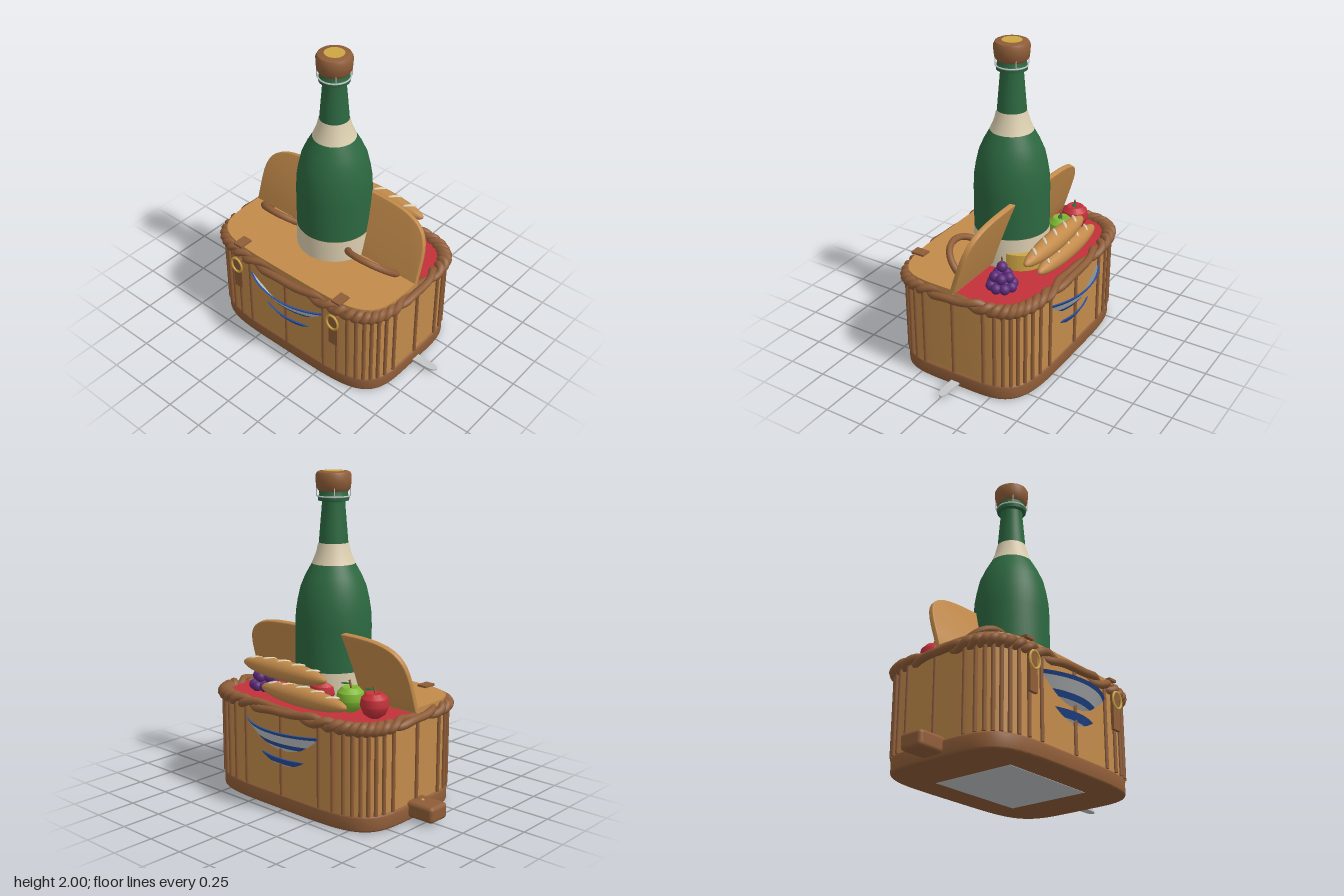
import * as THREE from 'three';
import { toCreasedNormals } from 'three/addons/utils/BufferGeometryUtils.js';
import { RoundedBoxGeometry } from 'three/addons/geometries/RoundedBoxGeometry.js';

const mat = (name, color) => {
  const m = new THREE.MeshStandardMaterial({ color });
  m.name = name;
  return m;
};

// Rounded oblong outline shared by the basket, rim and lids
const POWER = 0.42;
const bend = v => Math.sign(v) * Math.pow(Math.abs(v), POWER);
const outline = (t, a, b) => new THREE.Vector2(a * bend(Math.cos(t)), b * bend(Math.sin(t)));

function slab(a, b, height, from = 0, to = Math.PI * 2, bevel = 0) {
  const pts = [], n = 96, full = to - from > 6;
  for (let i = 0; i < (full ? n : n + 1); i++) {
    pts.push(outline(from + (to - from) * i / n, a - bevel, b - bevel));
  }
  const geo = new THREE.ExtrudeGeometry(new THREE.Shape(pts), {
    depth: height - 2 * bevel, bevelEnabled: bevel > 0, bevelSize: bevel, bevelThickness: bevel, bevelSegments: 3,
  });
  geo.translate(0, 0, bevel);
  return toCreasedNormals(geo, 0.6);
}

// One strand of the twisted rim
class Strand extends THREE.Curve {
  constructor(phase) {
    super();
    this.phase = phase;
    this.arcLengthDivisions = 4000;
  }
  getPoint(u, target = new THREE.Vector3()) {
    const t = u * Math.PI * 2, w = 20 * t + this.phase, o = 0.02 * Math.cos(w);
    const p = outline(t, 0.65 + o, 0.45 + o);
    return target.set(p.x, 0.616 + 0.02 * Math.sin(w), -p.y);
  }
}

export function createModel() {
  const root = new THREE.Group();
  const tan = mat('tan wicker', 0xc28a4a), brown = mat('brown cane', 0x8f5d38);
  const green = mat('green glass', 0x2c6840), cream = mat('cream paper', 0xdccfb0);
  const gold = mat('gold', 0xcda543), red = mat('red', 0xc4313a);
  const blue = mat('blue', 0x2850a0), silver = mat('pale silver', 0xc4c6c8);
  const purple = mat('purple grape', 0x5b2a78), lime = mat('lime', 0x7fb832);
  silver.side = blue.side = THREE.DoubleSide;

  const add = (name, geo, material, x = 0, y = 0, z = 0, parent = root) => {
    const m = new THREE.Mesh(geo, material);
    m.name = name;
    m.position.set(x, y, z);
    parent.add(m);
    return m;
  };
  const lathe = (pts, seg = 48) => toCreasedNormals(
    new THREE.LatheGeometry(pts.map(p => new THREE.Vector2(p[0], p[1])), seg), 0.6);
  const flat = m => { m.rotation.x = -Math.PI / 2; return m; };

  // Basket body, base band and lining
  flat(add('basketWall', slab(0.655, 0.455, 0.52), tan, 0, 0.08, 0));
  flat(add('basketBase', slab(0.667, 0.462, 0.1, 0, Math.PI * 2, 0.015), brown, 0, 0.002, 0));
  flat(add('cloth', slab(0.64, 0.44, 0.025), red, 0, 0.598, 0));
  add('basePlate', new THREE.BoxGeometry(0.68, 0.006, 0.54), silver, 0, 0.003, 0);

  // Upright canes, crowding toward the corners
  const cane = new THREE.CylinderGeometry(0.012, 0.012, 0.5, 8);
  for (let i = 0; i < 40; i++) {
    const p = outline(i * Math.PI / 20, 0.659, 0.459);
    add('cane', cane, brown, p.x, 0.35, -p.y);
  }

  // Braided rim
  for (let i = 0; i < 2; i++) {
    add('rimStrand', new THREE.TubeGeometry(new Strand(i * Math.PI), 900, 0.025, 8, true), brown);
  }

  // Closed front lid and raised back lid
  flat(add('frontLid', slab(0.65, 0.445, 0.033, Math.PI, Math.PI * 2), tan, 0, 0.636, 0));
  const backLid = add('backLid', slab(0.65, 0.43, 0.033, 0, Math.PI, 0.006), tan, 0, 0.65, -0.01);
  backLid.rotation.x = -0.31;

  // Carrying handles, straps and buckles on both sides
  for (const s of [-1, 1]) {
    const pts = [];
    for (let i = 0; i <= 12; i++) {
      const a = Math.PI * i / 12, k = Math.pow(Math.sin(a), 0.8);
      pts.push(new THREE.Vector3(s * (0.35 + 0.165 * Math.cos(a)), 0.67 + 0.14 * k, 0.02 + 0.165 * k));
    }
    add('carryHandle', new THREE.TubeGeometry(new THREE.CatmullRomCurve3(pts), 40, 0.021, 10), brown);
    add('strapFront', new THREE.BoxGeometry(0.065, 0.23, 0.02), brown, s * 0.395, 0.465, 0.468);
    add('strapTop', new THREE.BoxGeometry(0.065, 0.015, 0.09), brown, s * 0.4, 0.674, 0.415);
    const ring = add('buckleRing', new THREE.TorusGeometry(0.043, 0.007, 8, 28), gold, s * 0.395, 0.535, 0.485);
    ring.scale.y = 1.2;
  }

  // Striped bowls standing proud of the front and back walls
  const bowls = [
    ['upperBowl', [[0.37, 0.30], [0.456, 0.378], [0.478, 0.405], [0.498, 0.437], [0.537, 0.5], [0.55, 0.52]],
      [silver, silver, blue, silver, blue]],
    ['lowerBowl', [[0.4, 0.24], [0.459, 0.288], [0.465, 0.296], [0.489, 0.338]], [silver, silver, blue]],
  ];
  for (const [name, p, mats] of bowls) {
    const bowl = new THREE.Group();
    bowl.name = name;
    root.add(bowl);
    mats.forEach((m, i) => add('bowlBand', lathe([p[i], p[i + 1]], 72), m, 0, 0, 0, bowl));
    const [r, y] = p[p.length - 1];
    add('bowlInside', lathe([[r - 0.008, y], [r - 0.06, y - 0.07]], 72), silver, 0, 0, 0, bowl);
    add('bowlLip', lathe([[r, y], [r - 0.012, y]], 72), blue, 0, 0, 0, bowl);
  }

  // Bottle in coloured bands
  const bottle = new THREE.Group();
  bottle.name = 'bottle';
  root.add(bottle);
  const bands = [
    ['bottleLabel', cream, [[0.0, 0.61], [0.235, 0.61], [0.235, 0.82]]],
    ['bottleBody', green, [[0.233, 0.82], [0.233, 1.08], [0.229, 1.16], [0.218, 1.23], [0.2, 1.31],
      [0.17, 1.38], [0.13, 1.452]]],
    ['neckLabel', cream, [[0.132, 1.45], [0.107, 1.51], [0.091, 1.575]]],
    ['bottleNeck', green, [[0.089, 1.57], [0.08, 1.68], [0.07, 1.8], [0.07, 1.82], [0.092, 1.825],
      [0.094, 1.845], [0.085, 1.86], [0.085, 1.89]]],
    ['stopper', brown, [[0, 1.88], [0.09, 1.882], [0.102, 1.9], [0.107, 1.94], [0.107, 1.975],
      [0.098, 1.992], [0.085, 1.998], [0, 1.998]]],
    ['stopperCap', gold, [[0.06, 1.996], [0.06, 2.0], [0, 2.0]]],
  ];
  for (const [name, m, pts] of bands) add(name, lathe(pts), m, 0, 0, 0, bottle);
  const wire = add('wireRing', new THREE.TorusGeometry(0.094, 0.005, 6, 40), silver, 0, 1.85, 0, bottle);
  wire.rotation.x = Math.PI / 2;
  for (let i = 0; i < 4; i++) {
    const a = Math.PI * (i / 2 + 0.25);
    add('wireLeg', new THREE.CylinderGeometry(0.003, 0.003, 0.1, 6), silver,
      0.1 * Math.cos(a), 1.9, 0.1 * Math.sin(a), bottle);
  }

  // Apples with stems
  const appleGeo = lathe([[0, -0.066], [0.03, -0.076], [0.065, -0.05], [0.086, 0], [0.078, 0.045],
    [0.05, 0.073], [0.025, 0.072], [0, 0.055]], 28);
  for (const [x, m] of [[-0.485, red], [-0.3, lime], [-0.08, red]]) {
    const apple = new THREE.Group();
    apple.name = 'apple';
    apple.position.set(x, 0.697, -0.18);
    root.add(apple);
    add('appleFlesh', appleGeo, m, 0, 0, 0, apple);
    add('appleStem', new THREE.CylinderGeometry(0.007, 0.005, 0.06, 6), brown, 0, 0.085, 0, apple).rotation.z = -0.25;
    const leaf = add('appleLeaf', new THREE.SphereGeometry(1, 12, 8), green, 0.03, 0.092, -0.01, apple);
    leaf.scale.set(0.03, 0.004, 0.014);
    leaf.rotation.y = 0.4;
  }

  // Cheese wedge
  const wedge = new THREE.Shape();
  wedge.moveTo(0, 0);
  wedge.absarc(0, 0, 0.17, 0, Math.PI / 2);
  const cheese = new THREE.ExtrudeGeometry(wedge, { depth: 0.11, bevelEnabled: false, curveSegments: 16 });
  flat(add('cheese', toCreasedNormals(cheese, 0.6), gold, 0.05, 0.62, -0.095));

  // Grapes heaped in shrinking rings
  const grape = new THREE.SphereGeometry(0.033, 14, 10);
  [[8, 0.066, 0.652], [3, 0.025, 0.655], [5, 0.044, 0.708], [1, 0, 0.77]].forEach(([n, r, y], k) => {
    for (let i = 0; i < n; i++) {
      const a = i / n * Math.PI * 2 + k * 0.4;
      add('grape', grape, purple, 0.415 + r * Math.cos(a), y, -0.19 + r * Math.sin(a));
    }
  });
  add('grapeStem', new THREE.CylinderGeometry(0.005, 0.006, 0.05, 6), brown, 0.415, 0.81, -0.19);

  // Two stacked loaves with slashed crusts
  for (const [x0, y0] of [[-0.075, 0.7], [0.08, 0.832]]) {
    const loaf = new THREE.Group();
    loaf.name = 'loaf';
    loaf.position.set(x0, y0, -0.35);
    root.add(loaf);
    const crust = add('crust', new THREE.SphereGeometry(1, 32, 20), tan, 0, 0, 0, loaf);
    crust.scale.set(0.345, 0.062, 0.06);
    for (let i = -2; i <= 2; i++) {
      const x = i * 0.118;
      const cut = add('slash', new THREE.SphereGeometry(1, 12, 8), cream,
        x, 0.062 * Math.sqrt(1 - (x / 0.345) ** 2) - 0.006, 0, loaf);
      cut.scale.set(0.045, 0.012, 0.011);
      cut.rotation.y = 0.75;
    }
  }

  // Knife passing under the basket: handle on one side, blade on the other
  add('knifeHandle', new RoundedBoxGeometry(0.22, 0.1, 0.155, 3, 0.025), brown, -0.725, 0.072, 0);
  add('knifeRivet', new THREE.CylinderGeometry(0.01, 0.01, 0.006, 12), gold, -0.71, 0.124, 0);
  const blade = new THREE.Shape();
  blade.moveTo(0.6, -0.018);
  blade.lineTo(0.77, -0.018);
  blade.quadraticCurveTo(0.83, -0.01, 0.83, 0.018);
  blade.quadraticCurveTo(0.825, 0.035, 0.79, 0.036);
  blade.lineTo(0.6, 0.045);
  flat(add('knifeBlade', new THREE.ExtrudeGeometry(blade, { depth: 0.012, bevelEnabled: false }), silver, 0, 0.024, 0));

  return root;
}
